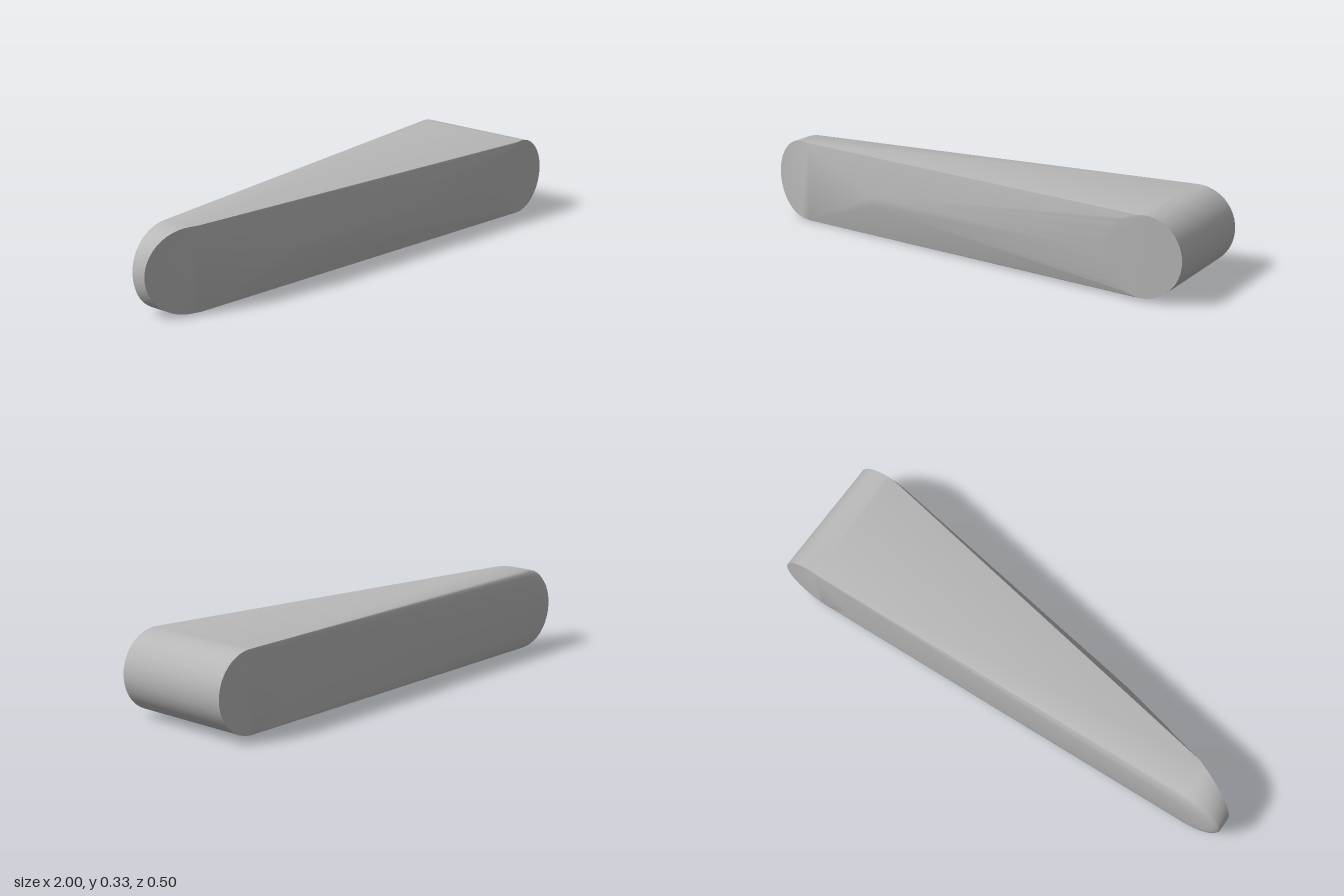
import * as THREE from 'three';
import { ConvexGeometry } from 'three/addons/geometries/ConvexGeometry.js';
import { toCreasedNormals } from 'three/addons/utils/BufferGeometryUtils.js';

const MID_Y = 0.166;

// Points on an arc around (cx, MID_Y); z may be a number or a function of x
function arc(cx, r, z, from, to, steps) {
  const points = [];
  for (let i = 0; i <= steps; i++) {
    const a = from + (to - from) * i / steps;
    const x = cx + r * Math.cos(a);
    points.push(new THREE.Vector3(x, MID_Y + r * Math.sin(a), typeof z === 'function' ? z(x) : z));
  }
  return points;
}

export function createModel() {
  const group = new THREE.Group();
  group.name = 'lever';
  const grey = new THREE.MeshStandardMaterial({ color: 0xb8b8b8 });
  grey.name = 'grey';

  const points = [];
  const half = Math.PI / 2;

  // Thick round end: a full barrel across the depth
  for (const z of [-0.25, 0.25]) points.push(...arc(0.844, 0.156, z, 0, Math.PI * 2 * 47 / 48, 47));

  // Thin round end: rounded over towards the back
  for (const [r, z] of [[0.166, -0.168], [0.158, -0.178], [0.143, -0.185], [0.115, -0.191]]) {
    points.push(...arc(-0.834, r, z, half, 3 * half, 24));
  }

  // Thin round end: cut off by a slanted plane at the front
  points.push(...arc(-0.834, 0.166, (x) => -0.11 + 0.4 * (x + 1), half, 3 * half, 24));
  for (const s of [-1, 1]) points.push(new THREE.Vector3(-0.8, MID_Y + s * 0.166, -0.03));

  // Blunt nose of the front ridge
  for (const s of [-1, 1]) points.push(new THREE.Vector3(-0.4, MID_Y + s * 0.02, 0.1));

  const body = new THREE.Mesh(toCreasedNormals(new ConvexGeometry(points), 0.75), grey);
  body.name = 'leverBody';
  group.add(body);
  return group;
}
